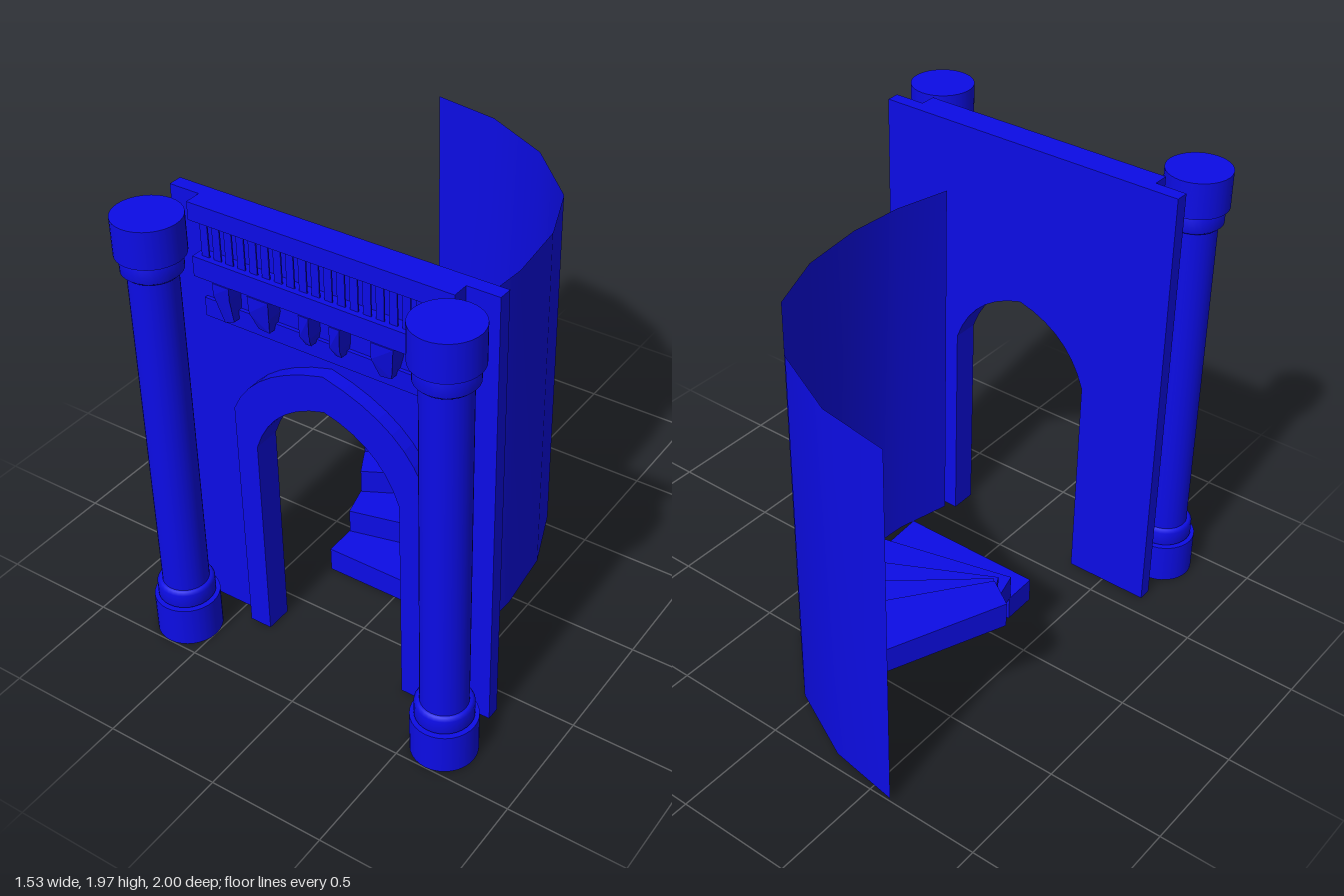
import * as THREE from 'three';

const BLUE = new THREE.MeshStandardMaterial({ color: 0x0c0ce6 });
const BLUE_THIN = new THREE.MeshStandardMaterial({ color: 0x0c0ce6, side: THREE.DoubleSide });

function add(parent, name, geometry, material = BLUE) {
  const mesh = new THREE.Mesh(geometry, material);
  mesh.name = name;
  parent.add(mesh);
  return mesh;
}

// Box given by its limits on each axis
function block(x0, x1, y0, y1, z0, z1) {
  return new THREE.BoxGeometry(x1 - x0, y1 - y0, z1 - z0)
    .translate((x0 + x1) / 2, (y0 + y1) / 2, (z0 + z1) / 2);
}

function slab(shape, z0, z1) {
  return new THREE.ExtrudeGeometry(shape, { depth: z1 - z0, bevelEnabled: false, curveSegments: 7 })
    .translate(0, 0, z0);
}

// Continues an outline through the pointed doorway, from its right foot to its left foot
function doorway(shape) {
  shape.lineTo(0.33, 0);
  shape.lineTo(0.33, 0.95);
  shape.quadraticCurveTo(0.25, 1.19, 0, 1.25);
  shape.quadraticCurveTo(-0.25, 1.19, -0.33, 0.95);
  shape.lineTo(-0.33, 0);
  return shape;
}

function makeGate() {
  const gate = new THREE.Group();
  gate.name = 'gate';

  // Wall panel with the doorway cut out
  const wall = new THREE.Shape();
  wall.moveTo(-0.705, 0);
  wall.lineTo(-0.705, 1.965);
  wall.lineTo(0.705, 1.965);
  wall.lineTo(0.705, 0);
  add(gate, 'gateWall', slab(doorway(wall), 0.592, 0.65));

  // Raised pointed frame around the doorway
  const frame = new THREE.Shape();
  frame.moveTo(-0.43, 0);
  frame.lineTo(-0.43, 1.1);
  frame.quadraticCurveTo(-0.33, 1.33, 0, 1.41);
  frame.quadraticCurveTo(0.33, 1.33, 0.43, 1.1);
  frame.lineTo(0.43, 0);
  add(gate, 'archFrame', slab(doorway(frame), 0.65, 0.71));

  // Horizontal rails and the low string course
  add(gate, 'topRail', block(-0.57, 0.57, 1.89, 1.965, 0.65, 0.72));
  add(gate, 'lowerRail', block(-0.57, 0.57, 1.65, 1.735, 0.65, 0.715));
  add(gate, 'stringCourse', block(-0.57, 0.57, 1.45, 1.53, 0.65, 0.665));

  // Thin flat balusters between the rails
  const count = 20;
  for (let i = 0; i < count; i++) {
    const x = -0.525 + (1.05 * i) / (count - 1);
    add(gate, 'baluster', block(x - 0.017, x + 0.017, 1.735, 1.89, 0.686, 0.692));
  }

  // Tapered corbels under the lower rail, mirrored left and right
  const corbels = [
    [[0.045, 1.65], [0.09, 1.65], [0.088, 1.56], [0.08, 1.515], [0.055, 1.515], [0.045, 1.56]],
    [[0.225, 1.65], [0.32, 1.65], [0.315, 1.58], [0.295, 1.505], [0.245, 1.5], [0.225, 1.58]],
    [[0.405, 1.65], [0.48, 1.65], [0.48, 1.6], [0.455, 1.475], [0.41, 1.49], [0.405, 1.6]],
  ];
  for (const side of [1, -1]) {
    for (const outline of corbels) {
      const shape = new THREE.Shape(outline.map(([x, y]) => new THREE.Vector2(side * x, y)));
      const geometry = slab(shape, 0.65, 0.72);
      // Lean the front face back towards the foot
      const p = geometry.attributes.position;
      for (let i = 0; i < p.count; i++) {
        if (p.getZ(i) > 0.7 && p.getY(i) < 1.53) p.setZ(i, 0.695);
      }
      geometry.computeVertexNormals();
      add(gate, 'corbel', geometry);
    }
  }
  return gate;
}

// Round column: drums and softened collars at both ends of a plain shaft
function makeColumn(x) {
  const column = new THREE.Group();
  column.name = 'column';
  const drum = (name, r, y0, y1) =>
    add(column, name, new THREE.CylinderGeometry(r, r, y1 - y0, 32).translate(0, (y0 + y1) / 2, 0));
  const collar = (name, r, y0, y1) => {
    const profile = [[0.09, y0], [r - 0.012, y0], [r, y0 + 0.012], [r, y1 - 0.012], [r - 0.012, y1], [0.09, y1]];
    add(column, name, new THREE.LatheGeometry(profile.map(([a, b]) => new THREE.Vector2(a, b)), 32));
  };
  drum('base', 0.135, 0, 0.18);
  collar('baseCollar', 0.118, 0.175, 0.26);
  drum('shaft', 0.096, 0.18, 1.81);
  collar('capitalCollar', 0.118, 1.73, 1.815);
  drum('capital', 0.135, 1.81, 1.965);
  column.position.set(x, 0, 0.863);
  return column;
}

// Winding stair: each step is a wedge between two radiating edges
function makeStairs() {
  const stairs = new THREE.Group();
  stairs.name = 'stairs';
  const inner = [[-0.33, 0.275], [-0.33, 0.13], [-0.365, -0.01], [-0.43, -0.135], [-0.52, -0.25], [-0.64, -0.33]];
  const outer = [[0.325, 0.275], [0.31, -0.025], [0.23, -0.32], [0.075, -0.57], [-0.13, -0.785], [-0.39, -0.95]];
  const rise = 0.112;
  for (let i = 0; i < 5; i++) {
    // Every tread runs slightly under the next one
    const under = i < 4 ? 0.07 : 0;
    const reach = (edge) => edge[i + 1].map((v, k) => (i < 4 ? v + (edge[i + 2][k] - v) * under : v));
    const corners = [inner[i], outer[i], reach(outer), reach(inner)];
    const shape = new THREE.Shape(corners.map(([x, z]) => new THREE.Vector2(x, -z)));
    const geometry = new THREE.ExtrudeGeometry(shape, { depth: rise, bevelEnabled: false });
    add(stairs, 'step', geometry.rotateX(-Math.PI / 2).translate(0, i * rise + 0.003, 0));
  }
  return stairs;
}

// Thin curved wall sweeping around the outside of the stair
function makeCurvedWall() {
  const plan = [[0.36, 0.55], [0.42, 0.3], [0.435, 0.05], [0.4, -0.25], [0.29, -0.53],
    [0.03, -0.79], [-0.29, -0.95], [-0.6, -1]];
  const positions = [];
  const index = [];
  plan.forEach(([x, z], i) => {
    positions.push(x, 0.015, z, x, 1.67, z);
    const a = 2 * i;
    if (i < plan.length - 1) index.push(a, a + 2, a + 1, a + 1, a + 2, a + 3);
  });
  const geometry = new THREE.BufferGeometry();
  geometry.setAttribute('position', new THREE.Float32BufferAttribute(positions, 3));
  geometry.setIndex(index);
  geometry.computeVertexNormals();
  return geometry;
}

export function createModel() {
  const model = new THREE.Group();
  model.name = 'archedStairGate';
  model.add(makeGate());
  for (const x of [-0.632, 0.632]) model.add(makeColumn(x));
  model.add(makeStairs());
  add(model, 'curvedWall', makeCurvedWall(), BLUE_THIN);
  return model;
}
